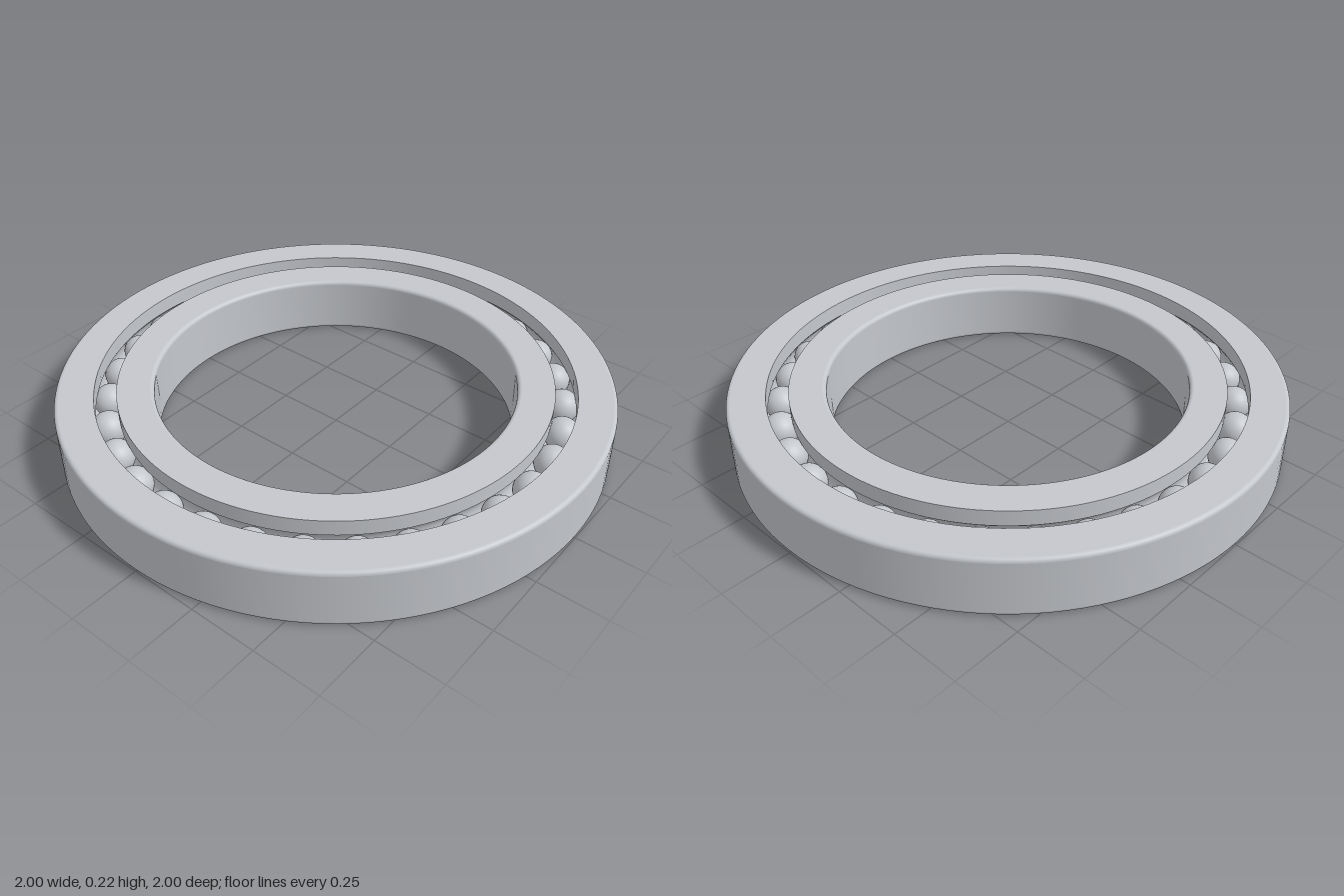
import * as THREE from 'three';
import { mergeGeometries } from 'three/addons/utils/BufferGeometryUtils.js';

const HEIGHT = 0.22, MID = HEIGHT / 2;
const PITCH = 0.824;          // radius of the circle of ball centres
const BALL_R = 0.063, GROOVE_R = 0.065;
const FILLET = 0.014, BALLS = 31, SEGMENTS = 128;

// Points of an arc in the (radius, height) plane
function arc(cx, cy, r, a0, a1, n) {
  return Array.from({ length: n + 1 }, (_, i) => {
    const a = a0 + (a1 - a0) * i / n;
    return new THREE.Vector2(cx + r * Math.cos(a), cy + r * Math.sin(a));
  });
}

// Race with rounded corners on its plain wall and a ball groove in its gap wall.
// side = 1: gap wall faces the axis; side = -1: gap wall faces outwards.
function raceGeometry(plainR, gapR, side) {
  const p = (x, y) => new THREE.Vector2(x, y);
  const H = Math.PI / 2;
  const f = FILLET, c = plainR - side * f;
  const half = Math.acos(Math.abs(gapR - PITCH) / GROOVE_R);
  const rise = GROOVE_R * Math.sin(half);
  const mirror = (pts, cx) => side > 0 ? pts : pts.map(v => p(2 * cx - v.x, v.y));
  const pieces = [
    [p(gapR, 0), p(c, 0)],
    mirror(arc(c, f, f, -H, 0, 5), c),
    [p(plainR, f), p(plainR, HEIGHT - f)],
    mirror(arc(c, HEIGHT - f, f, 0, H, 5), c),
    [p(c, HEIGHT), p(gapR, HEIGHT)],
    [p(gapR, HEIGHT), p(gapR, MID + rise)],
    mirror(arc(PITCH, MID, GROOVE_R, half, -half, 12), PITCH),
    [p(gapR, MID - rise), p(gapR, 0)],
  ];
  // Separate strips keep the edges between them sharp
  return mergeGeometries(pieces.map(pts =>
    new THREE.LatheGeometry(side > 0 ? pts : pts.slice().reverse(), SEGMENTS)));
}

export function createModel() {
  const model = new THREE.Group();
  model.name = 'ballBearing';
  const steel = new THREE.MeshStandardMaterial({ color: 0xc4c7cc });
  steel.name = 'steel';

  // Outer and inner races
  const outer = new THREE.Mesh(raceGeometry(1, 0.863, 1), steel);
  outer.name = 'outerRace';
  const inner = new THREE.Mesh(raceGeometry(0.653, 0.785, -1), steel);
  inner.name = 'innerRace';
  model.add(outer, inner);

  // Balls between the races
  const balls = new THREE.Group();
  balls.name = 'balls';
  const ballGeometry = new THREE.SphereGeometry(BALL_R, 32, 20);
  for (let i = 0; i < BALLS; i++) {
    const a = i / BALLS * Math.PI * 2;
    const ball = new THREE.Mesh(ballGeometry, steel);
    ball.name = 'ball';
    ball.position.set(PITCH * Math.cos(a), MID, PITCH * Math.sin(a));
    balls.add(ball);
  }
  model.add(balls);
  return model;
}
